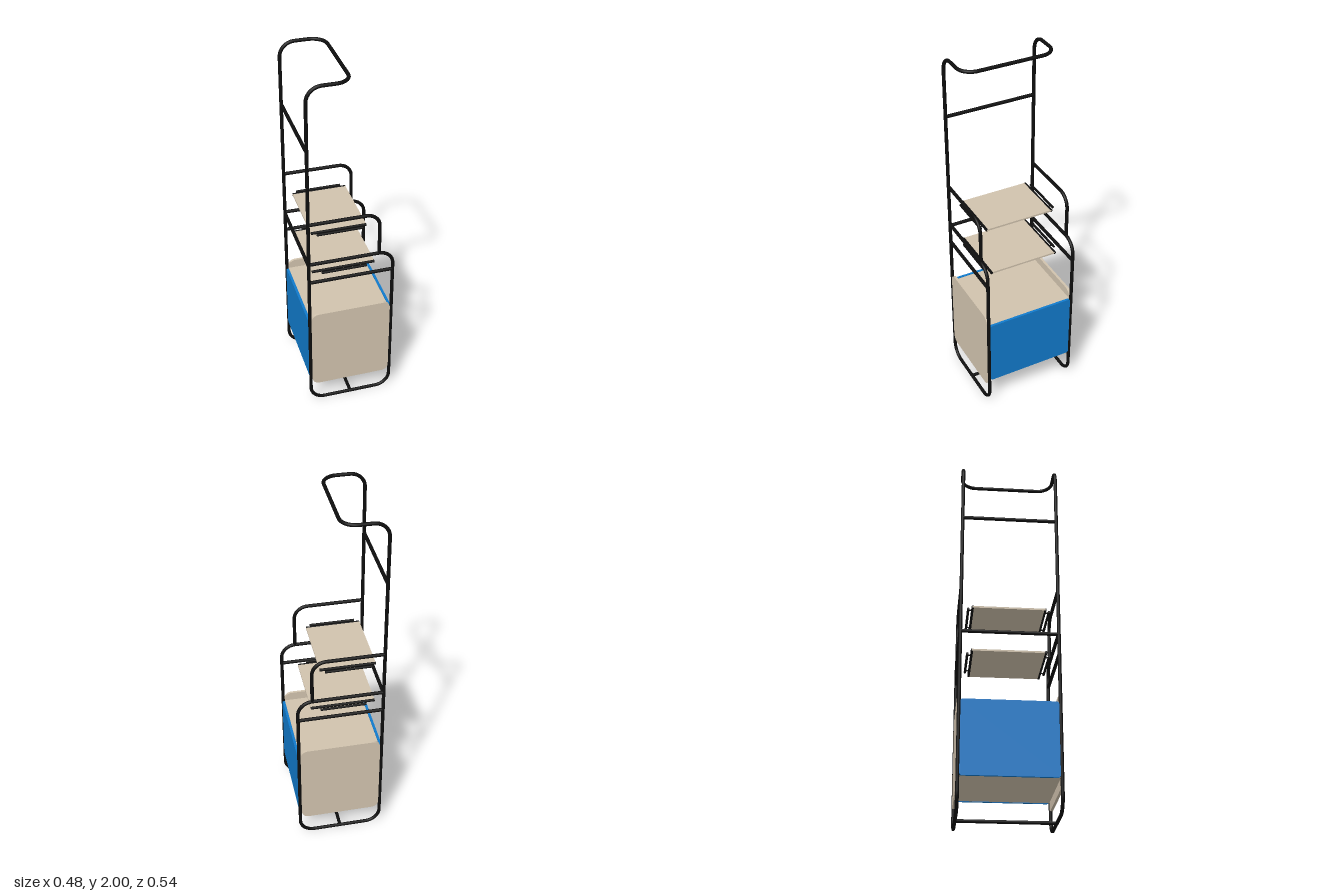
import * as THREE from 'three';

const BLACK = new THREE.MeshStandardMaterial({ color: 0x0d0d0d });
const TAN = new THREE.MeshStandardMaterial({ color: 0xd0c2ad });
const BLUE = new THREE.MeshStandardMaterial({ color: 0x117acb });

const X = 0.232, Z = 0.258, R = 0.0095; // tube centre lines and tube radius
const V = (x, y, z) => new THREE.Vector3(x, y, z);

// Polyline with circular fillets at each inner corner
function filletPath(points, radius) {
  const path = new THREE.CurvePath();
  let from = points[0];
  for (let i = 1; i < points.length - 1; i++) {
    const p = points[i];
    const a = points[i - 1].clone().sub(p).setLength(radius).add(p);
    const b = points[i + 1].clone().sub(p).setLength(radius).add(p);
    path.add(new THREE.LineCurve3(from, a));
    path.add(new THREE.CubicBezierCurve3(a, a.clone().lerp(p, 0.5523), b.clone().lerp(p, 0.5523), b));
    from = b;
  }
  path.add(new THREE.LineCurve3(from, points[points.length - 1]));
  path.arcLengthDivisions = 800;
  return path;
}

function bentTube(name, points, radius, segments) {
  const mesh = new THREE.Mesh(new THREE.TubeGeometry(filletPath(points, radius), segments, R, 12), BLACK);
  mesh.name = name;
  return mesh;
}

// Straight capped rod between two points
function rod(name, a, b, r = R) {
  const mesh = new THREE.Mesh(new THREE.CylinderGeometry(r, r, a.distanceTo(b), 12), BLACK);
  mesh.position.copy(a).lerp(b, 0.5);
  mesh.quaternion.setFromUnitVectors(V(0, 1, 0), b.clone().sub(a).normalize());
  mesh.name = name;
  return mesh;
}

// Upright panel with rounded corners, centred on its own origin
function panel(name, w, h, r, t, material) {
  const x = w / 2, y = h / 2;
  const s = new THREE.Shape();
  s.absarc(x - r, y - r, r, 0, Math.PI / 2);
  s.absarc(-x + r, y - r, r, Math.PI / 2, Math.PI);
  s.absarc(-x + r, -y + r, r, Math.PI, Math.PI * 1.5);
  s.absarc(x - r, -y + r, r, Math.PI * 1.5, Math.PI * 2);
  const g = new THREE.ExtrudeGeometry(s, { depth: t, bevelEnabled: false, curveSegments: 8 });
  g.translate(0, 0, -t / 2);
  const mesh = new THREE.Mesh(g, material);
  mesh.name = name;
  return mesh;
}

function board(name, w, t, d, x, y) {
  const mesh = new THREE.Mesh(new THREE.BoxGeometry(w, t, d), TAN);
  mesh.position.set(x, y, 0);
  mesh.name = name;
  return mesh;
}

// Thin shelf with an edge bar, an outer grip bar and two pegs at each end
function shelf(name, x, y, length) {
  const g = new THREE.Group();
  g.name = name;
  g.add(board('shelfBoard', length, 0.01, 0.39, 0, 0));
  for (const s of [-1, 1]) {
    g.add(rod('shelfEdgeBar', V(-length / 2, 0, s * 0.193), V(length / 2, 0, s * 0.193), 0.0075));
    g.add(rod('shelfGripBar', V(-0.125, 0, s * 0.216), V(0.125, 0, s * 0.216), 0.0068));
    for (const px of [-0.105, 0.105])
      g.add(rod('shelfPeg', V(px, 0, s * 0.193), V(px, 0, s * 0.216), 0.004));
  }
  g.position.set(x, y, 0);
  return g;
}

export function createModel() {
  const model = new THREE.Group();
  model.name = 'trolley';

  // One continuous bent tube: side loop, upright, top hoop, and back down the other side
  const half = (z) => [V(-X, 0.963, z), V(X, 0.963, z), V(X, R, z), V(-X, R, z), V(-X, 2 - R, z), V(0, 2 - R, z)];
  model.add(bentTube('mainFrame', [...half(Z), ...half(-Z).reverse()], 0.08, 700));

  for (const s of [-1, 1]) {
    const z = s * Z;
    // Arm rail and straight side rail
    model.add(bentTube('armRail', [V(-X, 1.214, z), V(0.154, 1.214, z), V(0.154, 0.963, z)], 0.075, 60));
    model.add(rod('sideRail', V(-X, 0.844, z), V(X, 0.844, z)));

    // Rounded side panel and coloured end panel of the storage box
    const side = panel('sidePanel', 0.446, 0.498, 0.04, 0.014, TAN);
    side.position.set(0, 0.373, z);
    const end = panel('endPanel', 0.5, 0.4, 0.012, 0.014, BLUE);
    end.rotation.y = Math.PI / 2;
    end.position.set(s * 0.231, 0.375, 0);
    model.add(side, end);
  }

  // Cross bars joining the two sides
  for (const [x, y] of [[-X, 1.643], [-X, 0.955], [0, R]])
    model.add(rod('crossBar', V(x, y, -Z), V(x, y, Z)));

  // Top and bottom of the storage box
  model.add(board('boxTop', 0.446, 0.014, 0.504, 0, 0.566));
  model.add(board('boxBottom', 0.446, 0.014, 0.504, 0, 0.184));

  // Shelves
  model.add(shelf('upperShelf', -0.05, 1.114, 0.3));
  model.add(shelf('lowerShelf', -0.025, 0.864, 0.35));

  return model;
}
